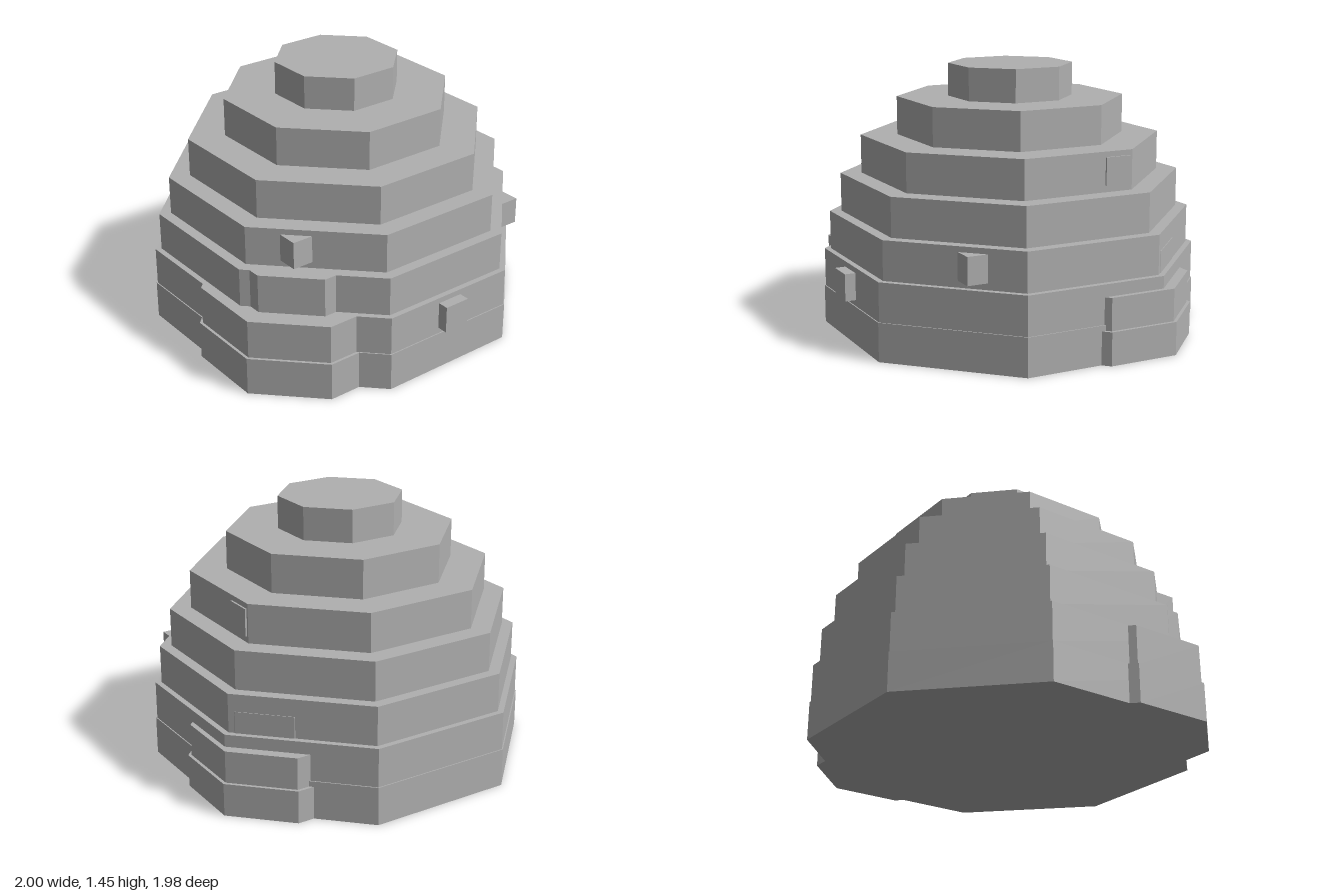
import * as THREE from 'three';

const stone = new THREE.MeshStandardMaterial({ color: 0xb0b0b0, flatShading: true });
stone.name = 'grey stone';

// Stack of octagonal slabs; each tier is [apothem, top height]
function steppedDome(name, x, z, tiers) {
  const dome = new THREE.Group();
  dome.name = name;
  dome.position.set(x, 0, z);
  let base = 0;
  tiers.forEach(([apothem, top], i) => {
    const r = apothem / Math.cos(Math.PI / 8);
    const geo = new THREE.CylinderGeometry(r, r, top - base, 8);
    geo.rotateY(Math.PI / 8);
    const slab = new THREE.Mesh(geo, stone);
    slab.name = `${name}Tier${i + 1}`;
    slab.position.y = (top + base) / 2;
    dome.add(slab);
    base = top;
  });
  return dome;
}

export function createModel() {
  const model = new THREE.Group();
  model.name = 'steppedRock';

  // Main mound
  model.add(steppedDome('mainMound', 0, -0.03, [
    [0.962, 0.21], [0.956, 0.422], [0.925, 0.635], [0.866, 0.848],
    [0.76, 1.06], [0.575, 1.27], [0.315, 1.45],
  ]));

  // Smaller mounds swelling out of the sides
  model.add(steppedDome('frontRightMound', -0.475, 0.29, [[0.525, 0.21], [0.51, 0.422], [0.412, 0.635]]));
  model.add(steppedDome('backLeftMound', 0.53, -0.287, [[0.47, 0.18], [0.453, 0.355], [0.372, 0.54]]));

  // Small blocks half buried in the tiers
  const size = 0.148;
  [
    ['frontBlock', -0.002, 0.318, 0.911],
    ['frontLeftBlock', 0.706, 0.531, 0.536],
    ['frontRightBlock', -0.666, 0.743, 0.496],
    ['leftBlock', 0.696, 0.957, -0.26],
  ].forEach(([name, x, y, z]) => {
    const block = new THREE.Mesh(new THREE.BoxGeometry(size, size, size), stone);
    block.name = name;
    block.position.set(x, y, z);
    model.add(block);
  });

  return model;
}
